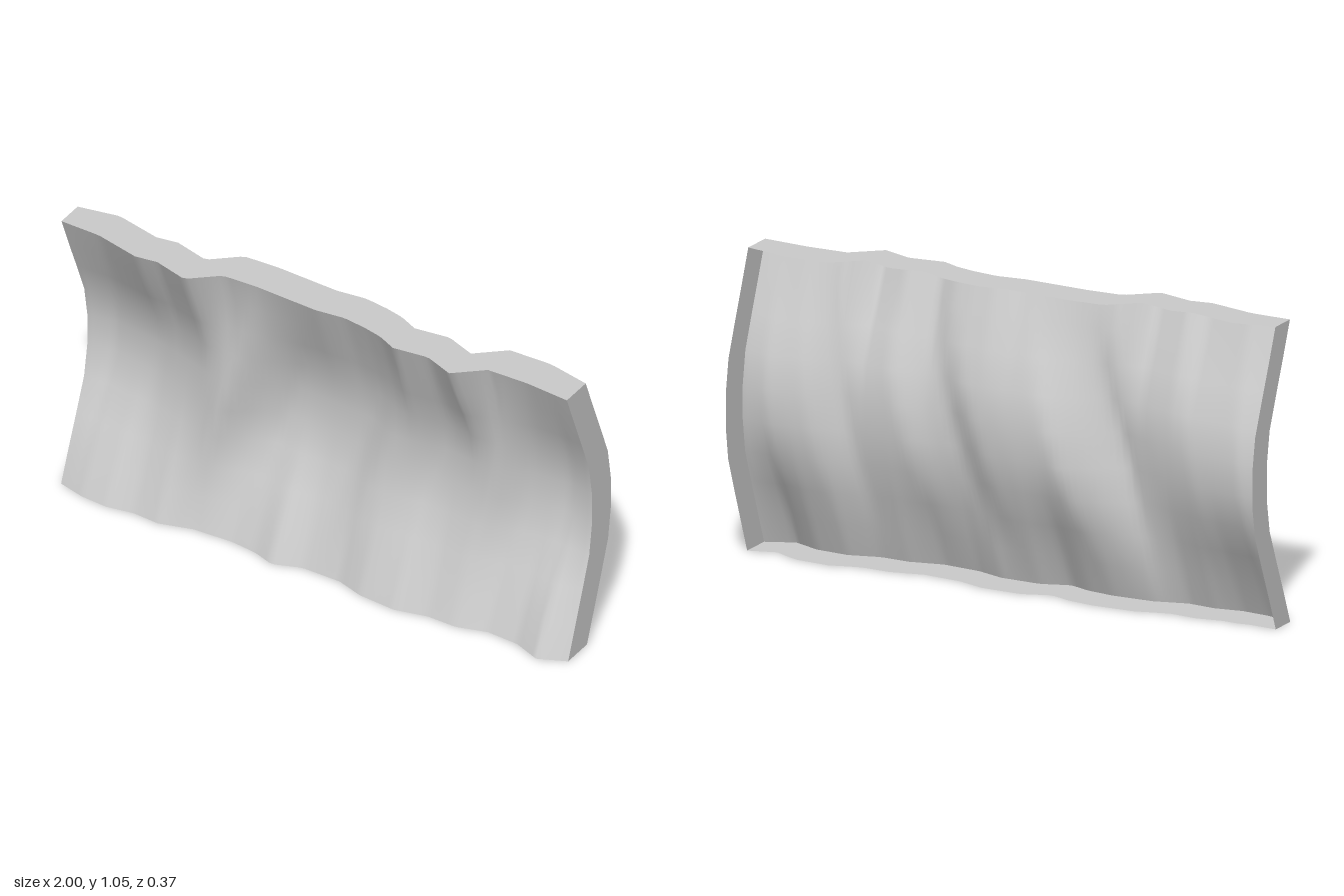
import * as THREE from 'three';

const HEIGHT = 1.05;
const COLS = 100, ROWS = 9;
const material = new THREE.MeshStandardMaterial({ color: 0xcccccc, side: THREE.DoubleSide });

// Wavy relief at three heights, as [x, z] points, before the panel is bowed
const BOTTOM = [[-1, 0.085], [-0.9, 0.115], [-0.8, 0.125], [-0.7, 0.11], [-0.6, 0.12], [-0.48, 0.088],
  [-0.33, 0.085], [-0.23, 0.1], [-0.15, 0.13], [-0.05, 0.095], [0.1, 0.1], [0.2, 0.135], [0.34, 0.15],
  [0.46, 0.125], [0.57, 0.13], [0.68, 0.1], [0.8, 0.11], [0.9, 0.152], [1, 0.11]];
const MIDDLE = [[-1, 0.07], [-0.9, 0.055], [-0.7, 0.09], [-0.55, 0.14], [-0.4, 0.195], [-0.28, 0.12],
  [-0.18, 0.075], [0, 0.09], [0.12, 0.105], [0.22, 0.155], [0.32, 0.15], [0.42, 0.13], [0.64, 0.16],
  [0.76, 0.105], [0.9, 0.09], [1, 0.11]];
const TOP = [[-1, 0.083], [-0.85, 0.09], [-0.68, 0.135], [-0.6, 0.125], [-0.47, 0.165], [-0.37, 0.08],
  [-0.24, 0.078], [0, 0.095], [0.11, 0.085], [0.2, 0.1], [0.27, 0.118], [0.34, 0.153], [0.47, 0.14],
  [0.58, 0.185], [0.68, 0.1], [0.83, 0.1], [1, 0.118]];

// Backward bow, by distance from mid height, and rim depth, by x
const BOW = [[0, 0.152], [0.11, 0.152], [0.33, 0.135], [0.56, 0.09], [0.78, 0.045], [1, 0]];
const DEPTH = [[-1, 0.103], [-0.85, 0.135], [0.85, 0.14], [1, 0.12]];

// Piecewise linear lookup
function sample(points, x) {
  let i = 1;
  while (i < points.length - 1 && points[i][0] < x) i++;
  const [x0, z0] = points[i - 1], [x1, z1] = points[i];
  return THREE.MathUtils.mapLinear(x, x0, x1, z0, z1);
}

// Front surface: blended relief, with the middle waves leaning, plus the bow
function frontZ(x, v) {
  const t = Math.abs(v - 0.5) * 2;
  const edge = THREE.MathUtils.smoothstep(t, 0.05, 1);
  const leaning = x - 0.4 * (v - 0.5) * (1 - x * x);
  const relief = THREE.MathUtils.lerp(sample(MIDDLE, leaning), sample(v < 0.5 ? BOTTOM : TOP, x), edge);
  return relief - sample(BOW, t);
}

const rimZ = (x, v, back) => frontZ(x, v) - back * sample(DEPTH, x);

// Sheet whose points come from a rule on (u, v)
function sheet(name, cols, rows, place) {
  const geometry = new THREE.PlaneGeometry(1, 1, cols, rows);
  const { position, uv } = geometry.attributes;
  for (let i = 0; i < position.count; i++) position.setXYZ(i, ...place(uv.getX(i), uv.getY(i)));
  geometry.computeVertexNormals();
  const mesh = new THREE.Mesh(geometry, material);
  mesh.name = name;
  return mesh;
}

export function createModel() {
  const group = new THREE.Group();
  group.name = 'bowedRockPanel';

  // Rough front face
  group.add(sheet('frontFace', COLS, ROWS, (u, v) => {
    const x = u * 2 - 1;
    return [x, v * HEIGHT, frontZ(x, v)];
  }));

  // Top and bottom rims; the back stays open
  for (const [name, level] of [['topRim', 1], ['bottomRim', 0]]) {
    group.add(sheet(name, COLS, 1, (u, v) => {
      const x = u * 2 - 1;
      const back = level ? v : 1 - v;
      return [x, level * HEIGHT, rimZ(x, level, back)];
    }));
  }

  // Side rims
  for (const [name, side] of [['leftRim', 1], ['rightRim', -1]]) {
    group.add(sheet(name, 1, ROWS, (u, v) => {
      const back = side > 0 ? u : 1 - u;
      return [side, v * HEIGHT, rimZ(side, v, back)];
    }));
  }
  return group;
}
